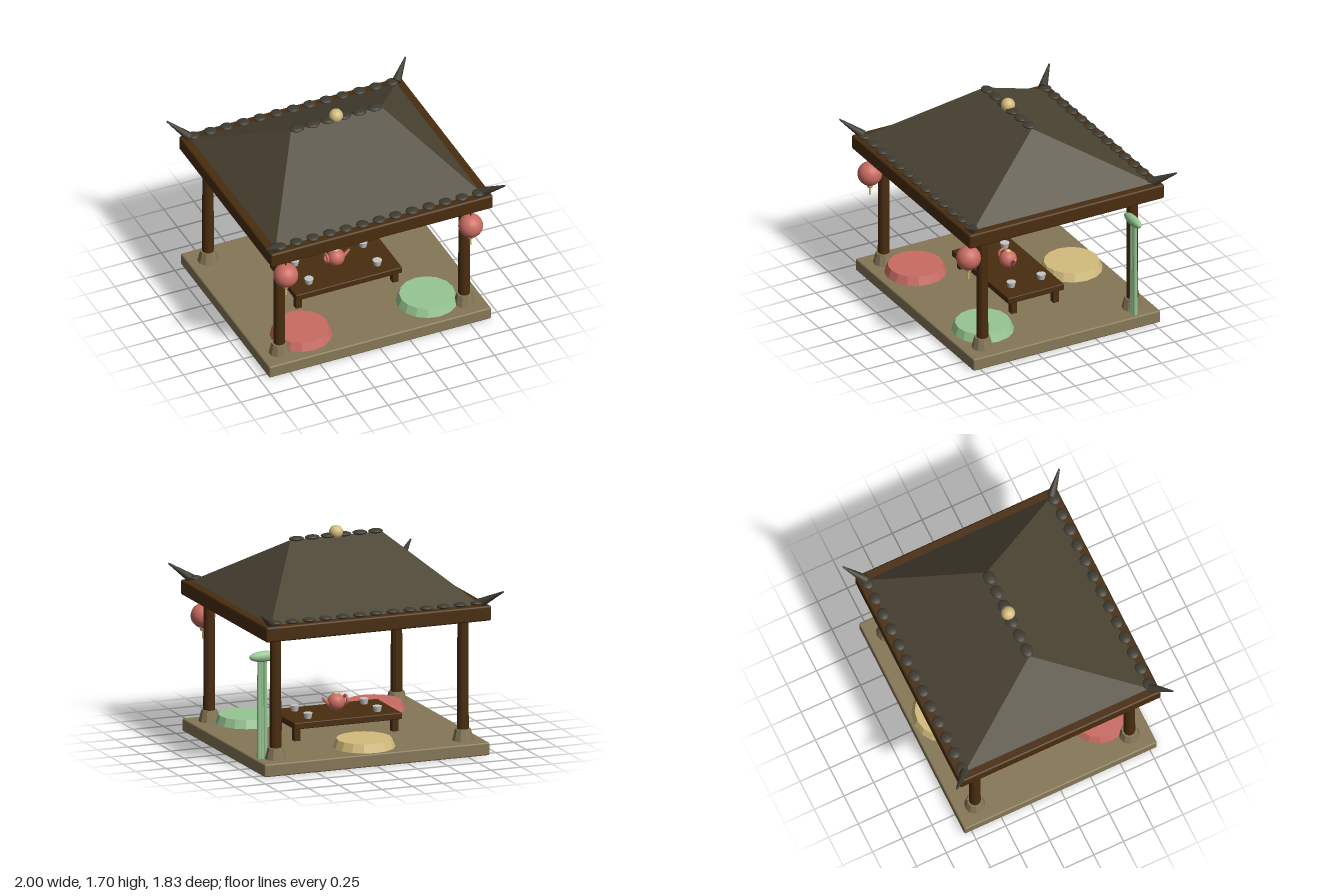
import * as THREE from 'three';
import { RoundedBoxGeometry } from 'three/addons/geometries/RoundedBoxGeometry.js';

function material(name, color, flatShading = false) {
  const m = new THREE.MeshStandardMaterial({ color, flatShading });
  m.name = name;
  return m;
}

export function createModel() {
  const wood = material('dark wood', 0x492d0f);
  const stone = material('stone', 0x857757);
  const roofing = material('roof', 0x4b4534, true);
  const tile = material('tile', 0x3e3b30);
  const red = material('soft red', 0xc96c63);
  const gold = material('pale gold', 0xd3bc7d);
  const green = material('soft green', 0x97c692);
  const china = material('china', 0xc6c6c6);

  const pavilion = new THREE.Group();
  pavilion.name = 'pavilion';

  const add = (name, geometry, mat, x = 0, y = 0, z = 0, parent = pavilion) => {
    const mesh = new THREE.Mesh(geometry, mat);
    mesh.name = name;
    mesh.position.set(x, y, z);
    parent.add(mesh);
    return mesh;
  };
  const group = (name, x, y, z) => {
    const g = new THREE.Group();
    g.name = name;
    g.position.set(x, y, z);
    pavilion.add(g);
    return g;
  };
  // Faceted solid of revolution with flat normals baked in
  const faceted = (rTop, rBottom, h, sides) => {
    const g = new THREE.CylinderGeometry(rTop, rBottom, h, sides).toNonIndexed();
    g.computeVertexNormals();
    return g;
  };
  const ellipsoid = (rx, ry, rz) => new THREE.SphereGeometry(1, 18, 12).scale(rx, ry, rz);
  // Tapered rod between two points
  const rod = (name, from, to, r0, r1, mat, parent = pavilion) => {
    const a = new THREE.Vector3(...from), b = new THREE.Vector3(...to);
    const dir = b.clone().sub(a);
    const mesh = add(name, new THREE.CylinderGeometry(r1, r0, dir.length(), 12), mat, 0, 0, 0, parent);
    mesh.position.copy(a).add(b).multiplyScalar(0.5);
    mesh.quaternion.setFromUnitVectors(new THREE.Vector3(0, 1, 0), dir.normalize());
    return mesh;
  };

  // Floor and eave frame
  add('floor', new RoundedBoxGeometry(1.85, 0.1, 1.62, 2, 0.012), stone, 0, 0.05, 0);
  add('eaveFrame', new RoundedBoxGeometry(1.85, 0.118, 1.69, 2, 0.015), wood, 0, 1.117, 0);

  // Hipped roof: two trapezoids and two triangles
  const ex = 0.865, ez = 0.785, ey = 1.17, ridgeX = 0.375, ridgeY = 1.62;
  const [fl, fr, br, bl] = [[-ex, ey, ez], [ex, ey, ez], [ex, ey, -ez], [-ex, ey, -ez]];
  const [rl, rr] = [[-ridgeX, ridgeY, 0], [ridgeX, ridgeY, 0]];
  const roof = new THREE.BufferGeometry();
  roof.setAttribute('position', new THREE.Float32BufferAttribute([
    fl, fr, rr, fl, rr, rl, // front
    br, bl, rl, br, rl, rr, // back
    fr, br, rr, bl, fl, rl, // ends
  ].flat(), 3));
  roof.computeVertexNormals();
  add('roof', roof, roofing);

  // Eave tiles, ridge tiles and finial
  for (const z of [-0.785, 0.785])
    for (let i = -6; i <= 6; i++)
      add('eaveTile', ellipsoid(0.05, 0.018, 0.046), tile, i * 0.138, 1.192, z);
  for (let i = 0; i < 6; i++)
    add('ridgeTile', ellipsoid(0.058, 0.018, 0.046), tile, (i - 2.5) * 0.13, 1.627, 0);
  add('finial', new THREE.SphereGeometry(0.054, 20, 14), gold, 0, 1.648, 0);

  // Corner posts, stone feet and upturned roof horns
  for (const sx of [-1, 1])
    for (const sz of [-1, 1]) {
      add('post', faceted(0.042, 0.046, 0.98, 12), wood, sx * 0.77, 0.58, sz * 0.65);
      add('postFoot', faceted(0.06, 0.082, 0.09, 10), stone, sx * 0.77, 0.144, sz * 0.65);
      rod('roofHorn', [sx * 0.86, 1.19, sz * 0.78], [sx * 0.995, 1.292, sz * 0.91],
        0.036, 0.006, tile);
    }

  // Hanging lanterns
  for (const sx of [-1, 1]) {
    const lantern = group('lantern', sx * 0.77, 0.895, 0.77);
    add('lanternBody', new THREE.SphereGeometry(0.095, 20, 14), red, 0, 0, 0, lantern);
    add('lanternString', new THREE.CylinderGeometry(0.005, 0.005, 0.1, 6), wood, 0, 0.128, 0, lantern);
    add('lanternCap', new THREE.CylinderGeometry(0.028, 0.02, 0.024, 12), gold, 0, -0.105, 0, lantern);
    add('lanternTassel', new THREE.CylinderGeometry(0.008, 0.008, 0.07, 8), gold, 0, -0.145, 0, lantern);
  }

  // Low table
  add('tableTop', new RoundedBoxGeometry(0.885, 0.052, 0.485, 2, 0.008), wood, 0, 0.225, 0);
  for (const x of [-0.403, 0.403])
    for (const z of [-0.182, 0.182])
      add('tableLeg', new THREE.BoxGeometry(0.048, 0.11, 0.048), wood, x, 0.15, z);

  // Teapot
  const teapot = group('teapot', 0, 0.322, 0);
  add('teapotBody', new THREE.SphereGeometry(0.068, 20, 14), red, 0, 0, 0, teapot);
  add('teapotKnob', ellipsoid(0.022, 0.013, 0.022), gold, 0, 0.066, 0, teapot);
  rod('teapotSpout', [0.045, -0.025, 0], [0.112, 0.04, 0], 0.018, 0.009, red, teapot);
  add('teapotHandle', new THREE.TorusGeometry(0.034, 0.01, 8, 20), red, -0.08, 0.012, 0, teapot)
    .rotation.y = Math.PI / 2;

  // Cups
  for (const x of [-0.285, 0.285])
    for (const z of [-0.13, 0.13])
      add('cup', new THREE.CylinderGeometry(0.036, 0.026, 0.044, 14), china, x, 0.272, z);

  // Floor cushions
  for (const [x, z, mat] of [[-0.525, 0.51, red], [0.525, 0.51, green], [0, -0.55, gold]])
    add('cushion', faceted(0.212, 0.24, 0.07, 16), mat, x, 0.13, z);

  // Bamboo stalks with a leaf crown
  for (const x of [0.838, 0.866, 0.888])
    add('bambooStalk', new THREE.CylinderGeometry(0.013, 0.018, 0.8, 10), green, x, 0.5, -0.61);
  add('bambooLeaf', ellipsoid(0.12, 0.042, 0.036), green, 0.85, 0.895, -0.61);

  return pavilion;
}
